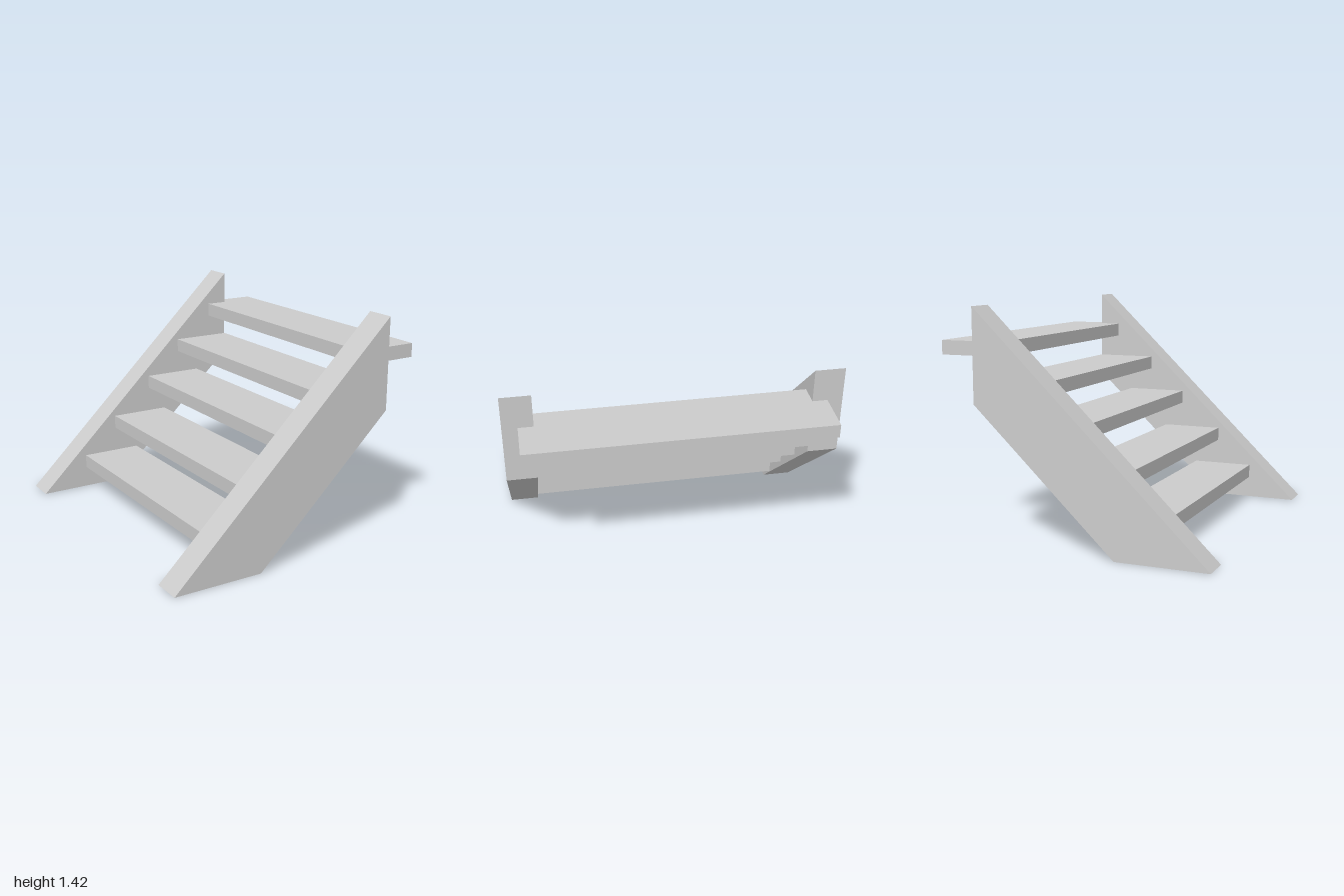
import * as THREE from 'three';

export function createModel() {
  const group = new THREE.Group();
  const material = new THREE.MeshStandardMaterial({ color: 0xcccccc, flatShading: true });

  // Sloping side boards, cut level at the floor and plumb at the top
  const outline = new THREE.Shape([
    [-0.865, 0], [-0.29, 0], [0.6, 0.845], [0.6, 1.418],
  ].map(([x, y]) => new THREE.Vector2(x, y)));
  const thickness = 0.183;
  const boardGeometry = new THREE.ExtrudeGeometry(outline, { depth: thickness, bevelEnabled: false });
  for (const [name, z] of [['frontStringer', 1 - thickness], ['backStringer', -1]]) {
    const board = new THREE.Mesh(boardGeometry, material);
    board.name = name;
    board.position.z = z;
    group.add(board);
  }

  // Treads, housed halfway into the side boards: [leading edge x, underside y]
  const depth = 0.4, height = 0.087;
  const treadGeometry = new THREE.BoxGeometry(depth, height, 2 - thickness);
  const steps = [[-0.55, 0.14], [-0.315, 0.393], [-0.04, 0.648], [0.203, 0.888], [0.465, 1.121]];
  steps.forEach(([x, y], i) => {
    const tread = new THREE.Mesh(treadGeometry, material);
    tread.name = `tread${i + 1}`;
    tread.position.set(x + depth / 2, y + height / 2, 0);
    group.add(tread);
  });

  return group;
}
